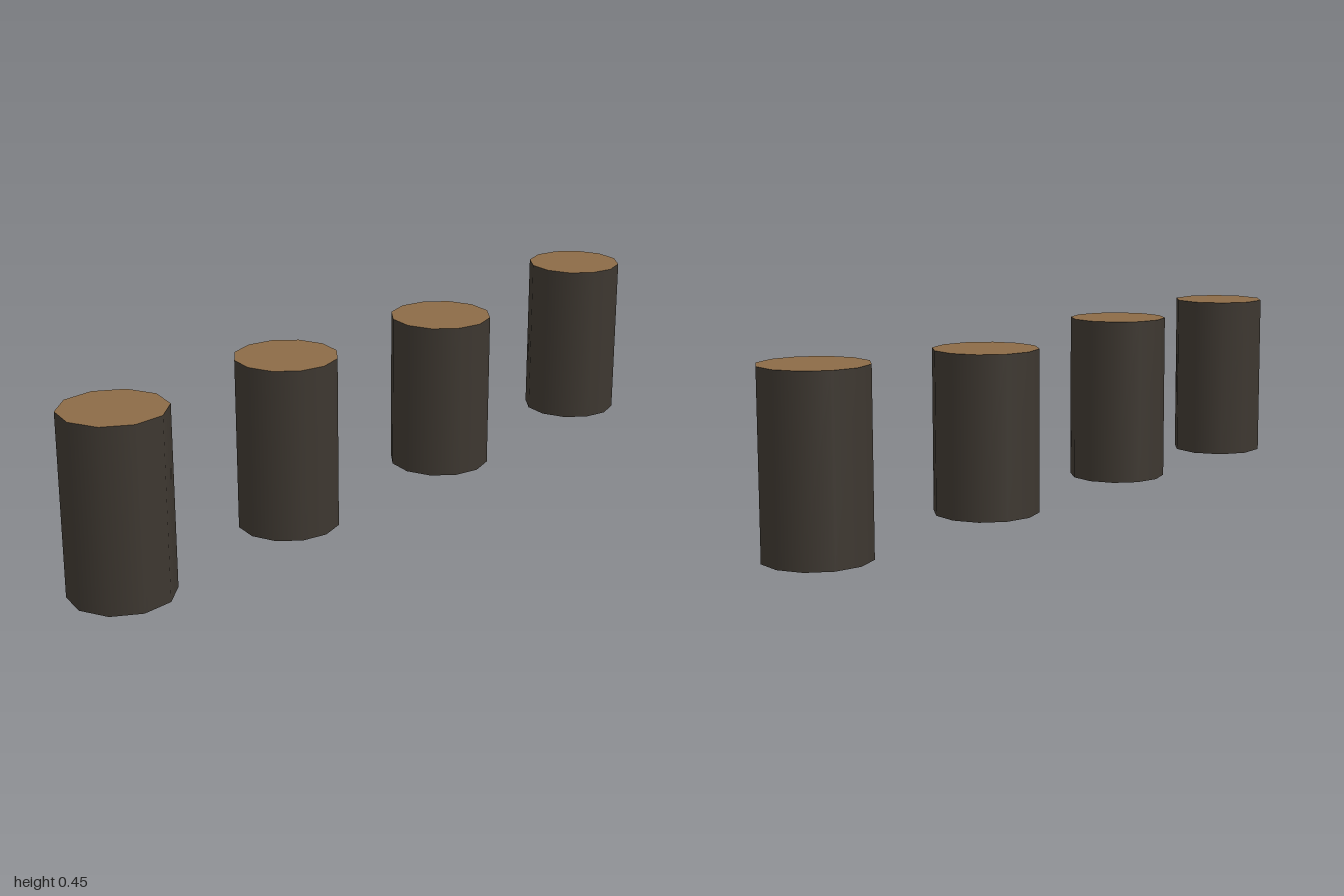
import * as THREE from 'three';

export function createModel() {
  const group = new THREE.Group();
  const bark = new THREE.MeshStandardMaterial({ color: 0x3d3730 });
  bark.name = 'dark bark';
  const wood = new THREE.MeshStandardMaterial({ color: 0x8b6b47 });
  wood.name = 'cut wood';

  // Four upright log stumps in a row: centre x, base y, top y, radius, sides
  const stumps = [
    [-0.872, 0, 0.449, 0.128, 10],
    [-0.328, 0.003, 0.44, 0.129, 12],
    [0.261, 0.002, 0.413, 0.134, 12],
    [0.871, 0.003, 0.44, 0.129, 12],
  ];
  stumps.forEach(([x, base, top, radius, sides], i) => {
    // Start at +x so that corners lie on the x axis
    const geometry = new THREE.CylinderGeometry(
      radius, radius, top - base, sides, 1, false, Math.PI / 2);
    // Bark on the side, cut wood on both ends
    const log = new THREE.Mesh(geometry, [bark, wood, wood]);
    log.name = `logStump${i + 1}`;
    log.position.set(x, (base + top) / 2, 0);
    group.add(log);
  });
  return group;
}
